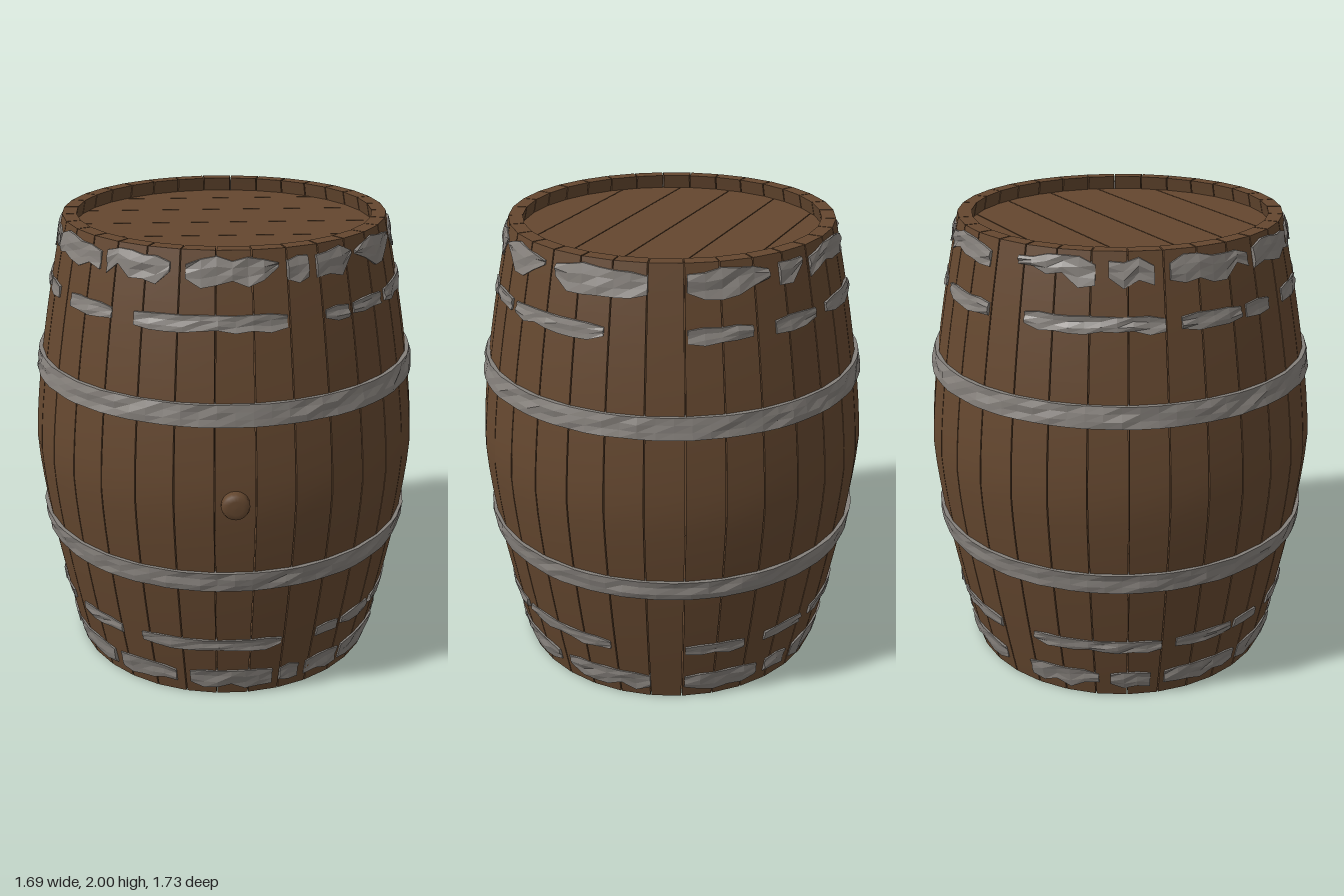
import * as THREE from 'three';

const RAD = Math.PI / 180;
const STAVES = 32;

// Bulging profile: outer radius at height y
const radiusAt = (y) => 0.85 - 0.16 * Math.pow(Math.abs(y - 1), 1.43);

function seeded(seed) {
  let s = seed;
  return () => (s = (s * 16807) % 2147483647) / 2147483647;
}

// Moves every vertex of a geometry by a rule
function reshape(geo, rule) {
  const p = geo.attributes.position;
  const v = new THREE.Vector3();
  for (let i = 0; i < p.count; i++) {
    v.fromBufferAttribute(p, i);
    rule(v);
    p.setXYZ(i, v.x, v.y, v.z);
  }
  geo.computeVertexNormals();
  return geo;
}

// One stave: a box bent to the profile, flat across its width
function staveGeometry() {
  const half = Math.PI / STAVES;
  const gap = 0.0025;
  return reshape(new THREE.BoxGeometry(1, 2, 1, 1, 20, 1), (v) => {
    const y = v.y + 1;
    const outer = v.z > 0;
    const r = radiusAt(y) - (outer ? 0 : 0.06);
    const side = Math.sign(v.x);
    v.set(side * (r * Math.sin(half) - gap), y, r * Math.cos(half));
  });
}

// Hammered metal strip from angle a0 to a1 (degrees), with uneven faces and edges
function stripGeometry(a0, a1, y0, y1, proud, ragged, seed) {
  const rand = seeded(seed);
  const closed = a1 - a0 >= 360;
  const n = Math.max(2, Math.round((a1 - a0) / 5));
  const rows = 3;
  const bumps = [];
  for (let i = 0; i <= n; i++) {
    bumps.push({ lift: [rand(), rand(), rand(), rand()], low: rand(), high: rand() });
  }
  if (closed) bumps[n] = bumps[0];
  const mid = y0 + y1 > 2;
  const geo = reshape(new THREE.BoxGeometry(1, 1, 1, n, rows, 1), (v) => {
    const i = Math.round((v.x + 0.5) * n);
    const j = Math.round((v.y + 0.5) * rows);
    const b = bumps[i];
    const end = !closed && (i === 0 || i === n) ? 0.12 : 0;
    const low = y0 + (y1 - y0) * (ragged * b.low * b.low + end);
    const high = y1 - (y1 - y0) * ((mid ? 0.3 : 0.15) * ragged * b.high + end);
    const y = low + (high - low) * j / rows;
    const edge = j === 0 || j === rows;
    const r = v.z > 0
      ? radiusAt(y) + proud + (b.lift[j] - 0.5) * (edge ? 0.006 : 0.014)
      : radiusAt(y) - 0.02;
    const a = (a0 + (a1 - a0) * i / n) * RAD;
    v.set(r * Math.sin(a), y, r * Math.cos(a));
  });
  const flat = geo.toNonIndexed();
  flat.computeVertexNormals();
  return flat;
}

// Lid board: a slice of a disc between two straight cuts
function boardGeometry(z0, z1, radius, thickness) {
  const pts = [];
  const steps = 10;
  const halfChord = (z) => Math.sqrt(Math.max(0, radius * radius - z * z));
  const a0 = Math.asin(z0 / radius);
  const a1 = Math.asin(z1 / radius);
  for (const side of [1, -1]) {
    for (let i = 0; i <= steps; i++) {
      const t = side > 0 ? i / steps : 1 - i / steps;
      const z = radius * Math.sin(a0 + (a1 - a0) * t);
      pts.push(new THREE.Vector2(side * halfChord(z), -z));
    }
  }
  const geo = new THREE.ExtrudeGeometry(new THREE.Shape(pts), { depth: thickness, bevelEnabled: false });
  return geo.rotateX(-Math.PI / 2);
}

export function createModel() {
  const wood = new THREE.MeshStandardMaterial({ color: 0x64472f });
  wood.name = 'brown wood';
  const metal = new THREE.MeshStandardMaterial({ color: 0x85807b });
  metal.name = 'grey metal';

  const model = new THREE.Group();
  model.name = 'barrel';
  const add = (geo, mat, name, parent) => {
    const mesh = new THREE.Mesh(geo, mat);
    mesh.name = name;
    parent.add(mesh);
    return mesh;
  };
  const group = (name) => {
    const g = new THREE.Group();
    g.name = name;
    model.add(g);
    return g;
  };

  // Ring of staves
  const staves = group('staves');
  const stave = staveGeometry();
  for (let i = 0; i < STAVES; i++) {
    add(stave, wood, 'stave', staves).rotation.y = (i / STAVES) * Math.PI * 2;
  }

  // Recessed lids made of boards
  const cuts = [-0.645, -0.473, -0.243, -0.003, 0.227, 0.457, 0.645];
  for (const [name, y] of [['topLid', 1.9], ['bottomLid', 0.06]]) {
    const lid = group(name);
    for (let i = 0; i < cuts.length - 1; i++) {
      const board = boardGeometry(cuts[i] + 0.002, cuts[i + 1] - 0.002, 0.645, 0.04);
      add(board, wood, 'lidBoard', lid).position.y = y;
    }
  }

  // Two complete hoops around the belly
  const hoops = group('bellyHoops');
  add(stripGeometry(0, 360, 1.33, 1.42, 0.014, 0, 11), metal, 'upperHoop', hoops);
  add(stripGeometry(0, 360, 0.59, 0.68, 0.014, 0, 29), metal, 'lowerHoop', hoops);

  // Narrow and end hoops, sunk in the wood so that only pieces show
  const narrow = [[-31, 16], [29, 38], [40, 55], [58, 94], [119, 139], [147, 164],
    [170, 196], [210, 253], [258, 279], [281, 292], [301, 321]];
  const wide = [[-15, 14], [17, 24], [27, 42], [44, 70], [75, 107], [119, 146], [150, 160],
    [164, 194], [206, 232], [236, 250], [255, 284], [287, 314], [317, 340]];
  const bands = [
    ['upperNarrowHoop', narrow, 1.69, 1.76, 0.25],
    ['lowerNarrowHoop', narrow, 0.25, 0.315, 0.25],
    ['topHoop', wide, 1.86, 1.98, 0.6],
    ['bottomHoop', wide, 0.03, 0.14, 0.35],
  ];
  bands.forEach(([name, pieces, y0, y1, ragged], k) => {
    const band = group(name);
    pieces.forEach(([a0, a1], i) => {
      add(stripGeometry(a0, a1, y0, y1, 0.006, ragged, 997 * (k + 1) + 131 * i), metal, 'hoopPiece', band);
    });
  });

  // Rounded plug in the front
  const profile = [[0.058, 0], [0.058, 0.085], [0.052, 0.099], [0.03, 0.103], [0, 0.104]]
    .map(([r, h]) => new THREE.Vector2(r, h));
  const plug = add(new THREE.LatheGeometry(profile, 20), wood, 'plug', model);
  plug.rotation.x = Math.PI / 2;
  plug.position.set(0, 1.005, 0.78);

  // Centre the whole depth, plug included
  model.children.forEach((part) => { part.position.z -= 0.017; });
  return model;
}
